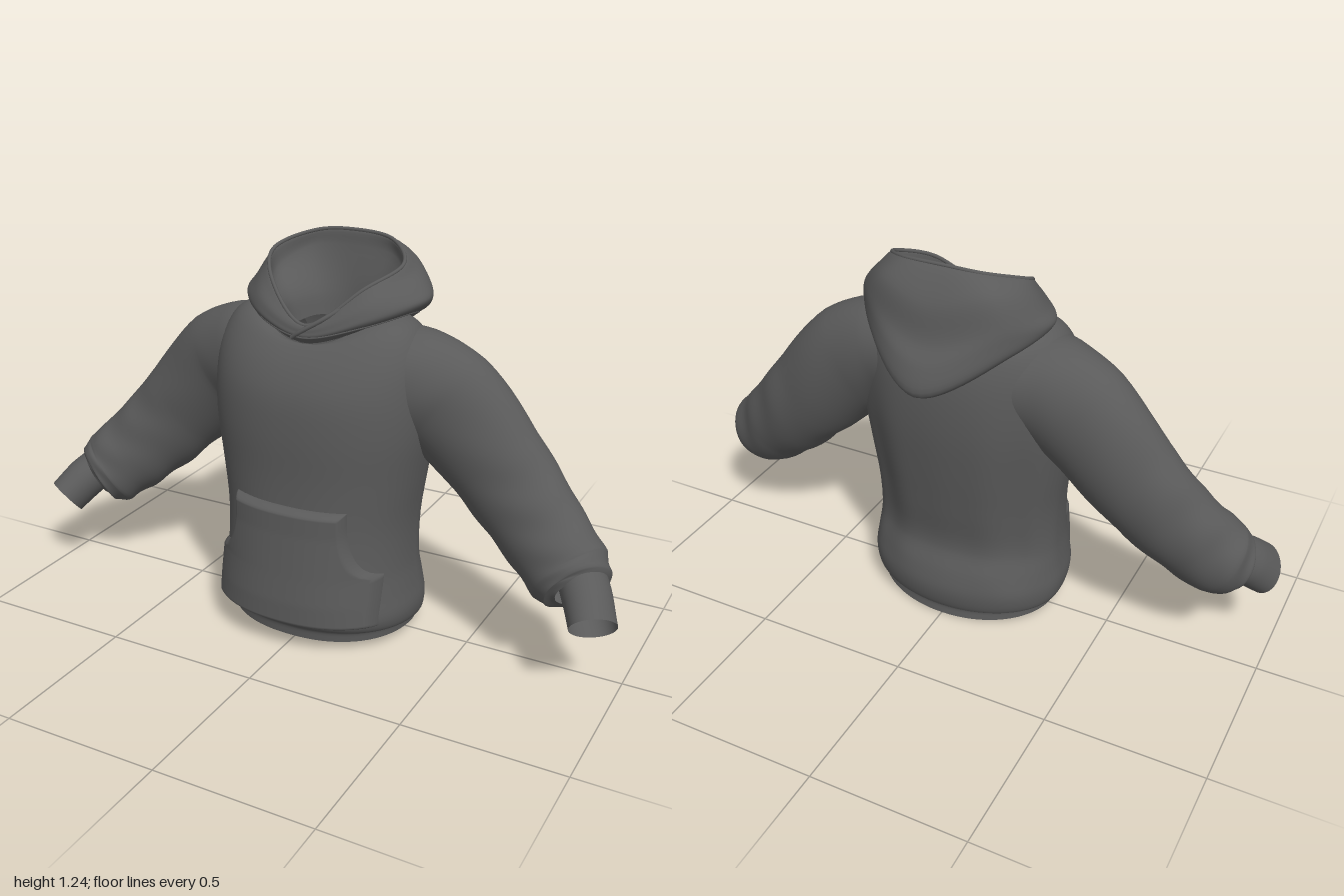
import * as THREE from 'three';

const V = (x, y, z) => new THREE.Vector3(x, y, z);
const fabric = new THREE.MeshStandardMaterial({ color: 0x5a5a5a, side: THREE.DoubleSide });
fabric.name = 'charcoal fabric';

// Smooth surface through rows of points; faces wholly inside hidden(p) are left out
function skin(rows, closed = true, hidden = () => false) {
  const n = rows[0].length, flat = rows.flat(), idx = [];
  for (let j = 0; j < rows.length - 1; j++) {
    for (let i = 0; i < (closed ? n : n - 1); i++) {
      const k = (i + 1) % n, a = j * n + i, b = j * n + k, c = a + n, d = b + n;
      if ([a, b, c, d].every(v => hidden(flat[v]))) continue;
      idx.push(a, b, d, a, d, c);
    }
  }
  const g = new THREE.BufferGeometry().setFromPoints(flat);
  g.setIndex(idx);
  g.computeVertexNormals();
  return g;
}

// Adds in-between rows along a spline through each column
function refine(rows, steps) {
  const total = (rows.length - 1) * steps;
  const cols = rows[0].map((_, i) => new THREE.CatmullRomCurve3(rows.map(r => r[i]), false, 'centripetal'));
  return Array.from({ length: total + 1 }, (_, j) => cols.map(c => c.getPoint(j / total)));
}

function add(group, name, geometry) {
  const mesh = new THREE.Mesh(geometry, fabric);
  mesh.name = name;
  group.add(mesh);
}

// Torso sections: y, half width, front z, back z, side lift, tilt
const TORSO = [
  [0.012, 0.305, 0.257, -0.208, 0.015, 0.05],
  [0.045, 0.31, 0.262, -0.205, 0.01, 0.06],
  [0.06, 0.325, 0.288, -0.218, 0, 0.07],
  [0.11, 0.335, 0.303, -0.23, 0, 0],
  [0.18, 0.325, 0.3, -0.215, 0, 0],
  [0.26, 0.315, 0.29, -0.185, 0, 0],
  [0.4, 0.315, 0.275, -0.2, 0, 0],
  [0.55, 0.335, 0.268, -0.22, 0, 0],
  [0.7, 0.355, 0.268, -0.235, 0, 0],
  [0.82, 0.355, 0.255, -0.235, 0.01, 0],
  [0.9, 0.34, 0.222, -0.225, 0.03, 0],
  [0.95, 0.3, 0.185, -0.21, 0.055, 0],
  [0.965, 0.25, 0.165, -0.2, 0.07, 0],
  [0.96, 0.19, 0.15, -0.185, 0.08, 0],
];
const FRONT_POW = 2.3, BACK_POW = 2.05;

function torsoRing([y, w, f, b, lift, tilt], n = 96) {
  return Array.from({ length: n }, (_, i) => {
    const a = i / n * Math.PI * 2, s = Math.sin(a), c = Math.cos(a);
    const e = 2 / (c > 0 ? FRONT_POW : BACK_POW);
    const x = w * Math.sign(s) * Math.abs(s) ** e;
    // soft folds on the back that fade toward the hem
    const fold = c < 0 && y > 0.15 ? 0.008 * Math.cos(a * 8) * s * s * c * c * 4 * Math.sin(y * 3.5) : 0;
    const z = (c > 0 ? f : b) * Math.abs(c) ** e + fold;
    return V(x, y + lift * (x / w) ** 2 + tilt * z, z);
  });
}

// Torso half width, front z and back z at height y
function torsoSection(y) {
  const j = Math.max(1, TORSO.findIndex(r => r[0] >= y));
  const p = TORSO[j - 1], q = TORSO[j], t = (y - p[0]) / (q[0] - p[0]);
  return [1, 2, 3].map(k => p[k] + (q[k] - p[k]) * t);
}
function torsoFront(x, y) {
  const [w, f] = torsoSection(y);
  return f * Math.max(0, 1 - Math.abs(x / w) ** FRONT_POW) ** (1 / FRONT_POW);
}

// Hidden zones where torso and sleeve overlap, left open as at a sewn armhole
function inTorso(p) {
  if (p.y > 0.94) return false;
  const [w, f, b] = torsoSection(p.y);
  return (p.x / w) ** 2 + (p.z / (p.z > 0 ? f : b)) ** 2 < 0.82;
}
function inSleeve(p) {
  const x = Math.abs(p.x);
  const across = ((x - 0.28) * 0.609 + (p.y - 0.835) * 0.793) / 0.165;
  return x > 0.25 && across ** 2 + ((p.z + 0.035) / 0.135) ** 2 < 0.72;
}

// Kangaroo pocket outline: half width at height y
const P0 = 0.1, P1 = 0.48;
function pocketWidth(y) {
  const s = THREE.MathUtils.clamp((y - 0.27) / 0.17, 0, 1);
  return 0.28 - 0.09 * Math.sqrt(1 - (1 - s) ** 2);
}
function pocketGeometry() {
  const rows = [];
  for (let j = 0; j <= 48; j++) {
    const y = P0 + (P1 - P0) * (0.5 - 0.5 * Math.cos(j / 48 * Math.PI));
    const w = pocketWidth(y), row = [];
    for (let i = 0; i <= 48; i++) {
      const x = w * Math.sin((i / 48 - 0.5) * Math.PI);
      const edge = Math.min(w - Math.abs(x), y - P0, P1 - y);
      const puff = 0.035 * Math.sqrt(Math.min(1, Math.max(0, edge) / 0.014));
      row.push(V(x, y, torsoFront(x, y) - 0.004 + puff));
    }
    rows.push(row);
  }
  return skin(rows, false);
}

// Tube of fabric: sections are x, y, z, radius in the front plane, radius across
function sleeveRows(sections, wrinkle, steps) {
  const path = new THREE.CatmullRomCurve3(sections.map(s => V(s[0], s[1], s[2])));
  const total = (sections.length - 1) * steps, rows = [];
  for (let j = 0; j <= total; j++) {
    const u = j / total, k = Math.min(sections.length - 2, Math.floor(j / steps)), f = j / steps - k;
    const p = path.getPoint(u), t = path.getTangent(u);
    const a = V().crossVectors(t, V(0, 0, 1)).normalize(), b = V().crossVectors(a, t);
    const ra = THREE.MathUtils.lerp(sections[k][3], sections[k + 1][3], f);
    const rb = THREE.MathUtils.lerp(sections[k][4], sections[k + 1][4], f);
    rows.push(Array.from({ length: 48 }, (_, i) => {
      const h = i / 48 * Math.PI * 2;
      const m = 1 + wrinkle * u * Math.sin(u * 42 + 2 * Math.sin(h * 2)) * (0.6 + 0.4 * Math.cos(h * 3));
      return p.clone().addScaledVector(a, ra * m * Math.cos(h)).addScaledVector(b, rb * m * Math.sin(h));
    }));
  }
  return rows;
}

const SLEEVE = [
  [0.17, 0.86, -0.015, 0.15, 0.175], [0.28, 0.835, -0.022, 0.175, 0.152],
  [0.39, 0.78, -0.036, 0.183, 0.13], [0.55, 0.62, -0.038, 0.162, 0.117],
  [0.655, 0.51, -0.02, 0.15, 0.113], [0.75, 0.42, 0.012, 0.138, 0.112],
  [0.825, 0.355, 0.046, 0.13, 0.117], [0.86, 0.33, 0.073, 0.108, 0.105],
  [0.87, 0.322, 0.083, 0.07, 0.08],
];
const CUFF = [
  [0.87, 0.352, 0.063, 0.07, 0.078], [0.9, 0.32, 0.105, 0.07, 0.08],
  [0.94, 0.263, 0.165, 0.065, 0.083],
];

// Hood loops from the neckline outward, over the rim and down inside;
// five points each: front, front corner, side, back corner, back
const HOOD = [
  [[0, 0.965, 0.155], [0.14, 1.0, 0.115], [0.2, 1.03, 0], [0.18, 1.0, -0.13], [0, 0.94, -0.19]],
  [[0, 0.985, 0.172], [0.17, 1.02, 0.122], [0.265, 1.04, -0.01], [0.22, 1.0, -0.15], [0, 0.875, -0.285]],
  [[0, 0.992, 0.174], [0.19, 1.04, 0.122], [0.295, 1.06, -0.03], [0.235, 1.02, -0.19], [0, 0.895, -0.34]],
  [[0, 1.0, 0.172], [0.195, 1.06, 0.115], [0.303, 1.08, -0.045], [0.23, 1.065, -0.2], [0, 0.975, -0.322]],
  [[0, 1.01, 0.17], [0.19, 1.085, 0.105], [0.28, 1.115, -0.06], [0.215, 1.11, -0.205], [0, 1.04, -0.28]],
  [[0, 1.018, 0.165], [0.175, 1.11, 0.09], [0.245, 1.16, -0.06], [0.175, 1.185, -0.2], [0, 1.15, -0.25]],
  [[0, 1.02, 0.158], [0.155, 1.125, 0.08], [0.22, 1.185, -0.045], [0.13, 1.228, -0.155], [0, 1.238, -0.175]],
  [[0, 1.005, 0.15], [0.145, 1.085, 0.085], [0.205, 1.135, -0.045], [0.14, 1.18, -0.145], [0, 1.19, -0.165]],
  [[0, 0.985, 0.142], [0.1, 1.035, 0.092], [0.135, 1.05, 0], [0.095, 1.05, -0.1], [0, 1.05, -0.135]],
  [[0, 0.95, 0.14], [0.095, 0.98, 0.09], [0.11, 0.98, 0], [0.085, 0.98, -0.09], [0, 0.97, -0.125]],
];
// The hood sits slightly askew: a touch higher on the left side
function hoodCurve(half) {
  const right = half.slice(1, 4).reverse().map(([x, y, z]) => [-x, y, z]);
  const points = [...half, ...right].map(([x, y, z]) => V(x + 0.01, y + (y < 1.15 ? 0.04 * x : 0), z));
  return new THREE.CatmullRomCurve3(points, true, 'centripetal');
}
const loop = curve => Array.from({ length: 80 }, (_, i) => curve.getPoint(i / 80));

export function createModel() {
  const model = new THREE.Group();
  model.name = 'hoodie';

  // Torso with the waistband tucked under
  add(model, 'torso', skin(refine(TORSO.map(r => torsoRing(r)), 4), true, inSleeve));
  add(model, 'pocket', pocketGeometry());

  // Hood with a rolled hem and a neckline seam
  add(model, 'hood', skin(refine(HOOD.map(h => loop(hoodCurve(h))), 5)));
  add(model, 'hoodHem', new THREE.TubeGeometry(hoodCurve(HOOD[6]), 120, 0.006, 8, true));
  add(model, 'necklineSeam', new THREE.TubeGeometry(hoodCurve(HOOD[1]), 120, 0.003, 8, true));

  // Overlapping edge where the hood crosses at the throat
  const flap = new THREE.CatmullRomCurve3([V(0.11, 1.075, 0.125), V(0.06, 1.04, 0.157), V(0, 1.002, 0.172), V(-0.03, 0.98, 0.168)]);
  add(model, 'throatFlap', new THREE.TubeGeometry(flap, 24, 0.007, 8));

  // Sleeves and ribbed cuffs, mirrored
  for (const side of [1, -1]) {
    const arm = new THREE.Group();
    arm.name = side > 0 ? 'leftArm' : 'rightArm';
    const flip = s => s.map(r => r.map(p => V(p.x * side, p.y, p.z))).map(r => side > 0 ? r : r.reverse());
    add(arm, 'sleeve', skin(flip(sleeveRows(SLEEVE, 0.045, 8)), true, inTorso));
    add(arm, 'cuff', skin(flip(sleeveRows(CUFF, 0, 6))));
    model.add(arm);
  }
  return model;
}
